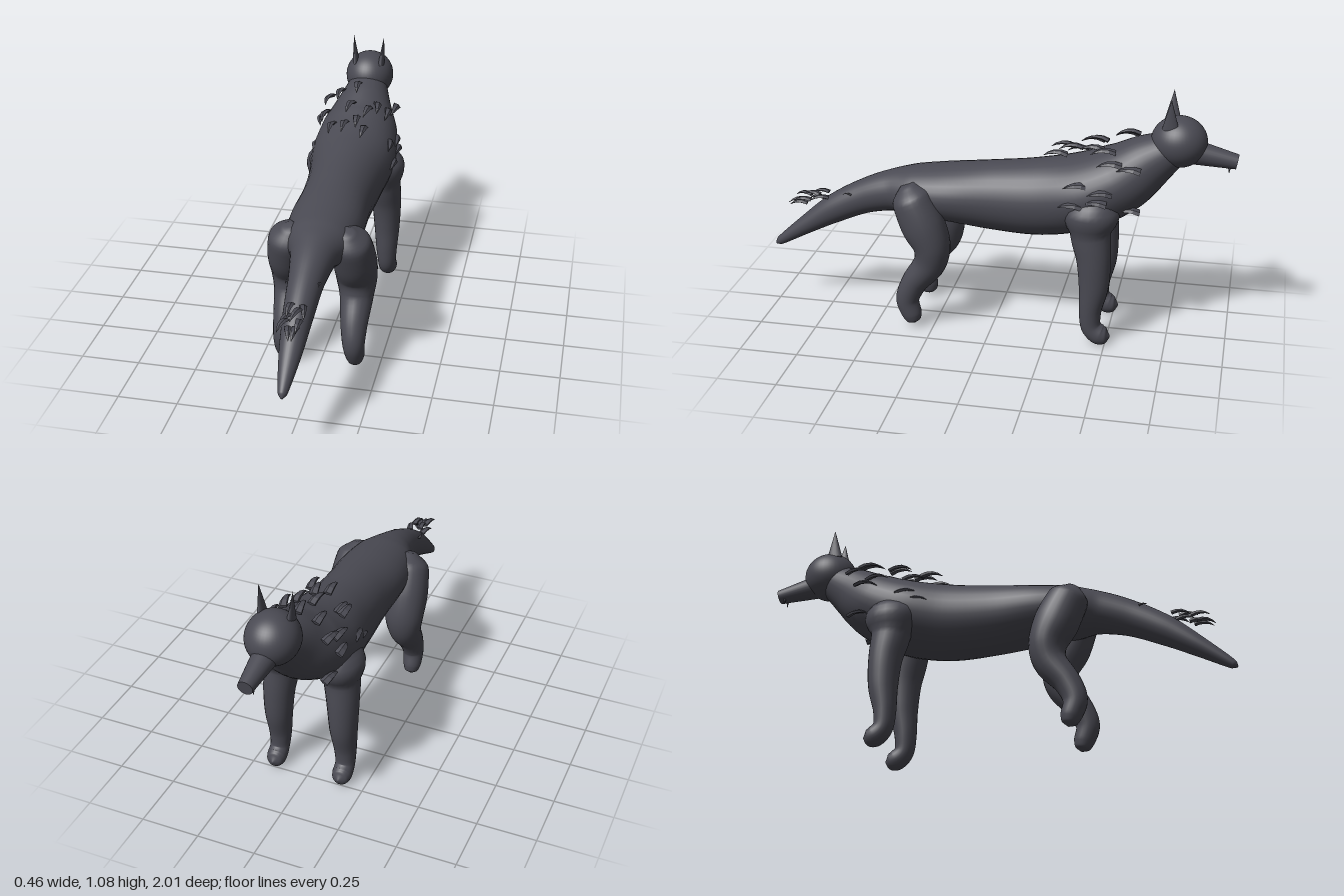
import * as THREE from 'three';

const fur = new THREE.MeshStandardMaterial({ color: 0x4a4a53 });
fur.name = 'dark grey fur';

// Smooth tube through sections [x, y, z, half width, half depth], bent in the YZ plane
function loft(sections, steps, sides) {
  const path = new THREE.CatmullRomCurve3(sections.map(s => new THREE.Vector3(s[0], s[1], s[2])));
  const size = new THREE.CatmullRomCurve3(sections.map(s => new THREE.Vector3(s[3], s[4], 0)));
  const pos = [], index = [];
  for (let i = 0; i <= steps; i++) {
    const p = path.getPoint(i / steps), r = size.getPoint(i / steps), t = path.getTangent(i / steps);
    const len = Math.hypot(t.y, t.z) || 1, ny = t.z / len, nz = -t.y / len;
    for (let j = 0; j < sides; j++) {
      const a = j / sides * Math.PI * 2, n = r.y * Math.sin(a);
      pos.push(p.x + r.x * Math.cos(a), p.y + ny * n, p.z + nz * n);
    }
  }
  for (let i = 0; i < steps; i++) for (let j = 0; j < sides; j++) {
    const k = (j + 1) % sides, a = i * sides + j, b = i * sides + k;
    index.push(a, b, b + sides, a, b + sides, a + sides);
  }
  // Close both ends
  const first = sections[0], last = sections[sections.length - 1];
  const c = (steps + 1) * sides, end = steps * sides;
  pos.push(...first.slice(0, 3), ...last.slice(0, 3));
  for (let j = 0; j < sides; j++) {
    const k = (j + 1) % sides;
    index.push(c, k, j, c + 1, end + j, end + k);
  }
  const g = new THREE.BufferGeometry();
  g.setAttribute('position', new THREE.Float32BufferAttribute(pos, 3));
  g.setIndex(index);
  g.computeVertexNormals();
  return g;
}

export function createModel() {
  const model = new THREE.Group();
  model.name = 'wolf';
  const add = (name, geometry, x = 0, y = 0, z = 0) => {
    const m = new THREE.Mesh(geometry, fur);
    m.name = name;
    m.position.set(x, y, z);
    model.add(m);
    return m;
  };

  // Tail, trunk and neck in one sweep
  add('body', loft([
    [0, .283, 1, .004, .004], [0, .295, .985, .018, .018], [0, .39, .85, .045, .042],
    [0, .475, .72, .06, .063], [0, .545, .58, .072, .075], [0, .585, .45, .095, .09],
    [0, .595, .35, .14, .108], [0, .6, .2, .157, .125], [0, .6, 0, .152, .15],
    [0, .61, -.2, .165, .165], [0, .65, -.38, .188, .16], [0, .72, -.53, .17, .145],
    [0, .8, -.64, .12, .115], [0, .86, -.73, .085, .08]], 90, 32));

  // Legs
  for (const s of [1, -1]) {
    const side = s > 0 ? 'left' : 'right';
    add(side + 'HindLeg', loft([
      [s * .115, .66, .36, .03, .03], [s * .125, .61, .34, .085, .085],
      [s * .137, .5, .29, .09, .095], [s * .138, .4, .25, .086, .08],
      [s * .14, .32, .26, .072, .07], [s * .143, .22, .33, .057, .056],
      [s * .147, .14, .36, .047, .05], [s * .15, .075, .342, .04, .044],
      [s * .15, .045, .334, .03, .032], [s * .15, .03, .33, .003, .003]], 50, 24));
    add(side + 'ForeLeg', loft([
      [s * .1, .7, -.42, .03, .03], [s * .115, .65, -.425, .075, .085],
      [s * .13, .52, -.425, .075, .085], [s * .142, .4, -.443, .066, .072],
      [s * .146, .28, -.447, .058, .063], [s * .148, .16, -.435, .047, .047],
      [s * .15, .09, -.442, .041, .043], [s * .15, .06, -.472, .042, .045],
      [s * .15, .053, -.502, .034, .036], [s * .15, .053, -.522, .003, .003]], 50, 24));
  }

  // Head and blunt muzzle
  add('head', new THREE.SphereGeometry(.11, 40, 28), 0, .895, -.76).scale.set(.98, .97, 1.05);
  const muzzle = add('muzzle', new THREE.CylinderGeometry(.031, .054, .2, 28), 0, .841, -.9);
  muzzle.rotation.x = -Math.PI / 2 - .17;

  // Ears and fangs
  for (const s of [1, -1]) {
    const ear = add(s > 0 ? 'leftEar' : 'rightEar', new THREE.ConeGeometry(.035, .13, 20), s * .064, 1.027, -.726);
    ear.scale.set(.42, 1, 1);
    ear.rotation.z = -s * .08;
    const fang = add(s > 0 ? 'leftFang' : 'rightFang', new THREE.ConeGeometry(.006, .03, 10), s * .017, .79, -.968);
    fang.rotation.x = Math.PI;
  }

  // Curved, faceted tufts sweeping towards the tail
  const tuft = loft([
    [0, -.012, -.05, .02, .009], [0, .004, -.015, .017, .009],
    [0, .004, .02, .011, .006], [0, -.008, .05, .001, .001]], 4, 5).toNonIndexed();
  tuft.computeVertexNormals();
  const mane = [
    [-.16, .83, -.58], [-.1, .88, -.54], [-.185, .75, -.53], [-.16, .79, -.49], [-.14, .83, -.39],
    [-.17, .7, -.35], [-.17, .66, -.31], [-.1, .8, -.34], [-.02, .915, -.55], [-.03, .875, -.42],
    [-.03, .84, -.28], [.02, .85, -.32], [.05, .86, -.41], [.06, .83, -.26], [.09, .86, -.46],
    [.15, .81, -.57], [.13, .82, -.49], [.18, .71, -.46], [.185, .67, -.44], [.185, .65, -.34],
    [.165, .73, -.36], [-.15, .63, -.57], [.12, .62, -.57]];
  const tail = [
    [-.03, .525, .87], [.03, .52, .86], [0, .505, .89], [.01, .545, .82], [-.02, .545, .79],
    [.035, .535, .78], [-.035, .51, .81], [.02, .5, .88]];
  mane.forEach(([x, y, z], i) => {
    const t = add('maneTuft', tuft, x, y, z);
    t.rotation.set(.12, (i % 3 - 1) * .12, -x * 3);
  });
  tail.forEach(([x, y, z], i) => {
    const t = add('tailTuft', tuft, x, y, z);
    t.rotation.set(.2, (i % 3 - 1) * .25, -x * 4);
    t.scale.setScalar(.8);
  });
  for (const s of [1, -1]) add('tailSideTuft', tuft, s * .065, .575, .64).scale.setScalar(.35);

  return model;
}
